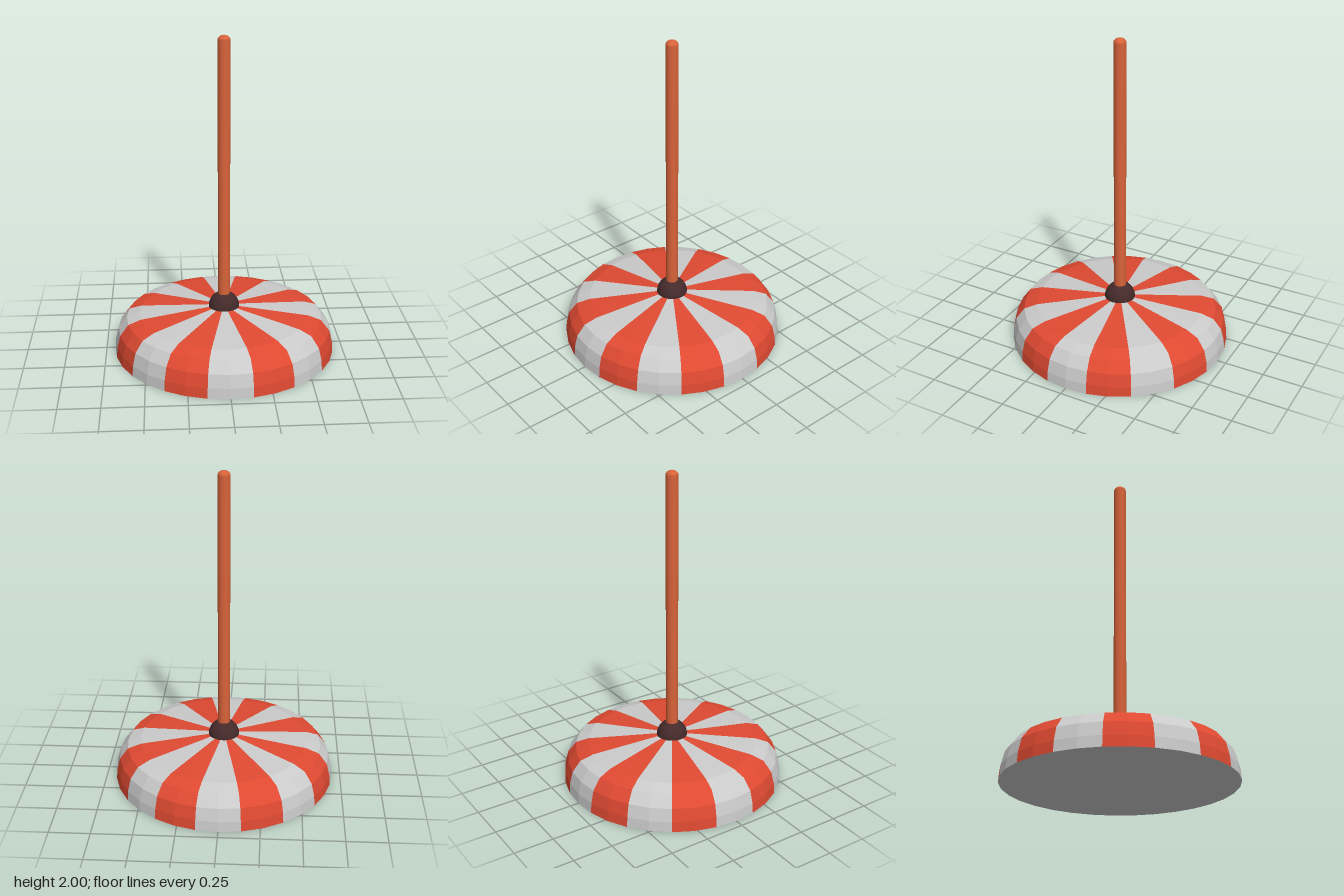
import * as THREE from 'three';

const STRIPES = 16;
const BASE_RADIUS = 0.695;

const points = (list) => list.map(([r, y]) => new THREE.Vector2(r, y));

export function createModel() {
  const model = new THREE.Group();
  const add = (name, geometry, material, parent = model) => {
    const mesh = new THREE.Mesh(geometry, material);
    mesh.name = name;
    parent.add(mesh);
    return mesh;
  };

  const grey = new THREE.MeshStandardMaterial({ color: 0xcccccc, flatShading: true });
  const red = new THREE.MeshStandardMaterial({ color: 0xe04a32, flatShading: true });
  const dark = new THREE.MeshStandardMaterial({ color: 0x452a2a });
  const orange = new THREE.MeshStandardMaterial({ color: 0xd8633a });

  // Domed base: alternating wedges, each two facets wide
  const base = new THREE.Group();
  base.name = 'stripedBase';
  model.add(base);
  const profile = points([
    [BASE_RADIUS, 0], [0.69, 0.065], [0.67, 0.145], [0.617, 0.213], [0.535, 0.24], [0, 0.285],
  ]);
  const step = (Math.PI * 2) / STRIPES;
  for (let i = 0; i < STRIPES; i++) {
    const wedge = new THREE.LatheGeometry(profile, 2, (i - 0.5) * step, step);
    add(i % 2 ? 'redStripe' : 'greyStripe', wedge, i % 2 ? red : grey, base);
  }

  // Flat underside
  const underside = new THREE.CircleGeometry(BASE_RADIUS, STRIPES * 2);
  underside.rotateX(Math.PI / 2);
  add('underside', underside, grey, base);

  // Half-round hub at the foot of the pole
  const hub = new THREE.SphereGeometry(0.097, 32, 12, 0, Math.PI * 2, 0, Math.PI * 0.55);
  add('hub', hub, dark).position.y = 0.275;

  // Pole with a softly rounded tip
  const radius = 0.038, tip = 0.028;
  const outline = [[radius, 0.28], [radius, 2 - tip]];
  for (let i = 1; i <= 6; i++) {
    const a = (i / 6) * Math.PI / 2;
    outline.push([i === 6 ? 0 : radius * Math.cos(a), 2 - tip + tip * Math.sin(a)]);
  }
  add('pole', new THREE.LatheGeometry(points(outline), 24), orange);

  return model;
}
